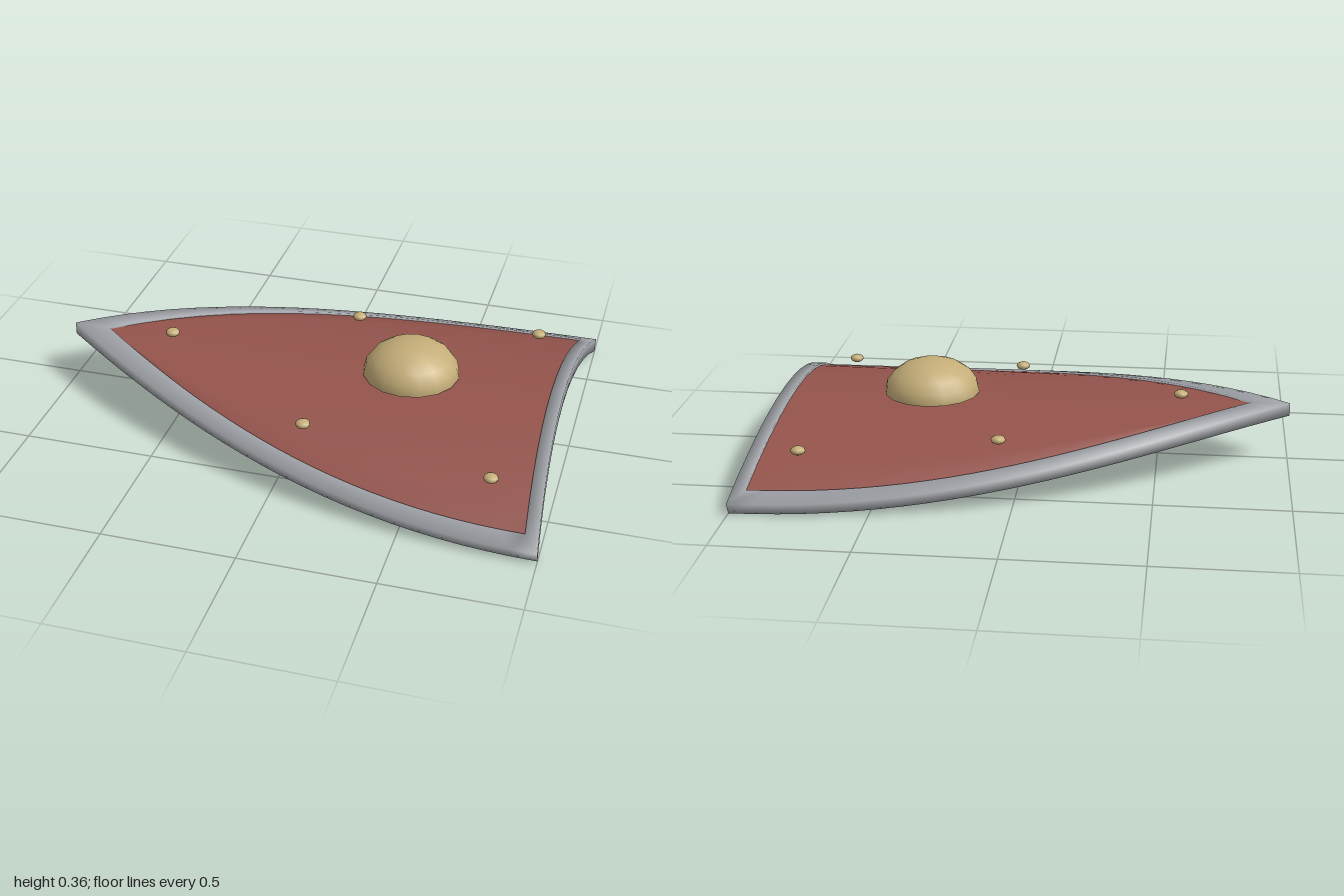
import * as THREE from 'three';

const red = new THREE.MeshStandardMaterial({ color: 0x94544c, name: 'red' });
const steel = new THREE.MeshStandardMaterial({ color: 0xa0a3a8, name: 'steel' });
const brass = new THREE.MeshStandardMaterial({ color: 0xc4ad78, name: 'brass', side: THREE.DoubleSide });

const CURVE = 0.322; // sideways bend of the shield: y = 0.2 - CURVE * z^2

// Point on the bent surface, moved by h along the surface normal
function onShield(x, z, h) {
  const slope = 2 * CURVE * z, len = Math.hypot(1, slope);
  return [x, 0.2 - CURVE * z * z + h / len, z + (h * slope) / len];
}

// Quadratic side outline from the tip (z = 0) to the rear corner
function side(tipX, ctrlX, endX, endZ) {
  return (t) => {
    const u = 1 - t;
    return [u * u * tipX + 2 * u * t * ctrlX + t * t * endX, 2 * u * t * endZ + t * t * endZ];
  };
}
const outer = side(-1, -0.09, 1, 0.744);
const inner = side(-0.855, -0.04, 0.945, 0.68);
const OUTER_BOW = 0.037, INNER_BOW = 0.03;

// Skin a list of closed rings; shared vertices give soft normals
function loft(rings, closed) {
  const n = rings[0].length, count = rings.length;
  const index = [];
  for (let i = 0; i < (closed ? count : count - 1); i++) {
    const a = i * n, b = ((i + 1) % count) * n;
    for (let j = 0; j < n; j++) {
      const k = (j + 1) % n;
      index.push(a + j, b + j, b + k, a + j, b + k, a + k);
    }
  }
  const geo = new THREE.BufferGeometry();
  geo.setAttribute('position', new THREE.Float32BufferAttribute(rings.flat(2), 3));
  geo.setIndex(index);
  geo.computeVertexNormals();
  return geo;
}

// Rim outline: along one side, across the bowed end, back along the other side
function outline(curve, bow) {
  const pts = [], sideSteps = 24, endSteps = 12;
  for (let i = 0; i <= sideSteps; i++) pts.push(curve(i / sideSteps));
  const [ex, ez] = curve(1);
  for (let i = 1; i < endSteps; i++) {
    const s = 1 - (2 * i) / endSteps;
    pts.push([ex - bow * (1 - s * s), ez * s]);
  }
  for (let i = sideSteps; i > 0; i--) {
    const [x, z] = curve(i / sideSteps);
    pts.push([x, -z]);
  }
  return pts;
}

function rimGeometry() {
  const out = outline(outer, OUTER_BOW), inn = outline(inner, INNER_BOW);
  const h = 0.025;
  const rings = out.map(([x, z], i) => {
    const [ix, iz] = inn[i];
    return [onShield(x, z, h), onShield(ix, iz, h), onShield(ix, iz, -h), onShield(x, z, -h)];
  });
  return loft(rings, true);
}

// Thin bent panel, its edges tucked slightly into the rim
function panelGeometry() {
  const rings = [], along = 16, across = 10;
  for (let i = 0; i <= along; i++) {
    const t = i / along;
    const [x, z] = inner(t);
    const top = [], bottom = [];
    for (let j = 0; j <= across; j++) {
      const s = 1 - (2 * j) / across;
      const px = x + 0.012 * (2 * t - 1) - INNER_BOW * t * t * (1 - s * s);
      const pz = s * (z + 0.008 * Math.min(1, t * 8));
      top.push(onShield(px, pz, 0.017));
      bottom.unshift(onShield(px, pz, -0.01));
    }
    rings.push([...top, ...bottom]);
  }
  return loft(rings, false);
}

export function createModel() {
  const group = new THREE.Group();
  group.name = 'shield';
  const add = (name, geo, mat, x = 0, y = 0, z = 0) => {
    const mesh = new THREE.Mesh(geo, mat);
    mesh.name = name;
    mesh.position.set(x, y, z);
    group.add(mesh);
  };

  add('rim', rimGeometry(), steel);
  add('panel', panelGeometry(), red);

  // Central domed boss
  const dome = new THREE.SphereGeometry(0.185, 16, 5, 0, Math.PI * 2, 0, Math.PI / 2);
  dome.scale(1, 0.13 / 0.185, 1);
  add('boss', dome, brass, 0.38, 0.225, 0);

  // Flattened studs
  const stud = new THREE.SphereGeometry(0.028, 10, 6);
  stud.scale(1, 0.57, 1);
  add('tipStud', stud, brass, -0.585, 0.247, 0);
  for (const s of [1, -1]) {
    add('middleStud', stud, brass, 0.07, 0.195, 0.415 * s);
    add('endStud', stud, brass, 0.79, 0.165, 0.523 * s);
  }
  return group;
}
